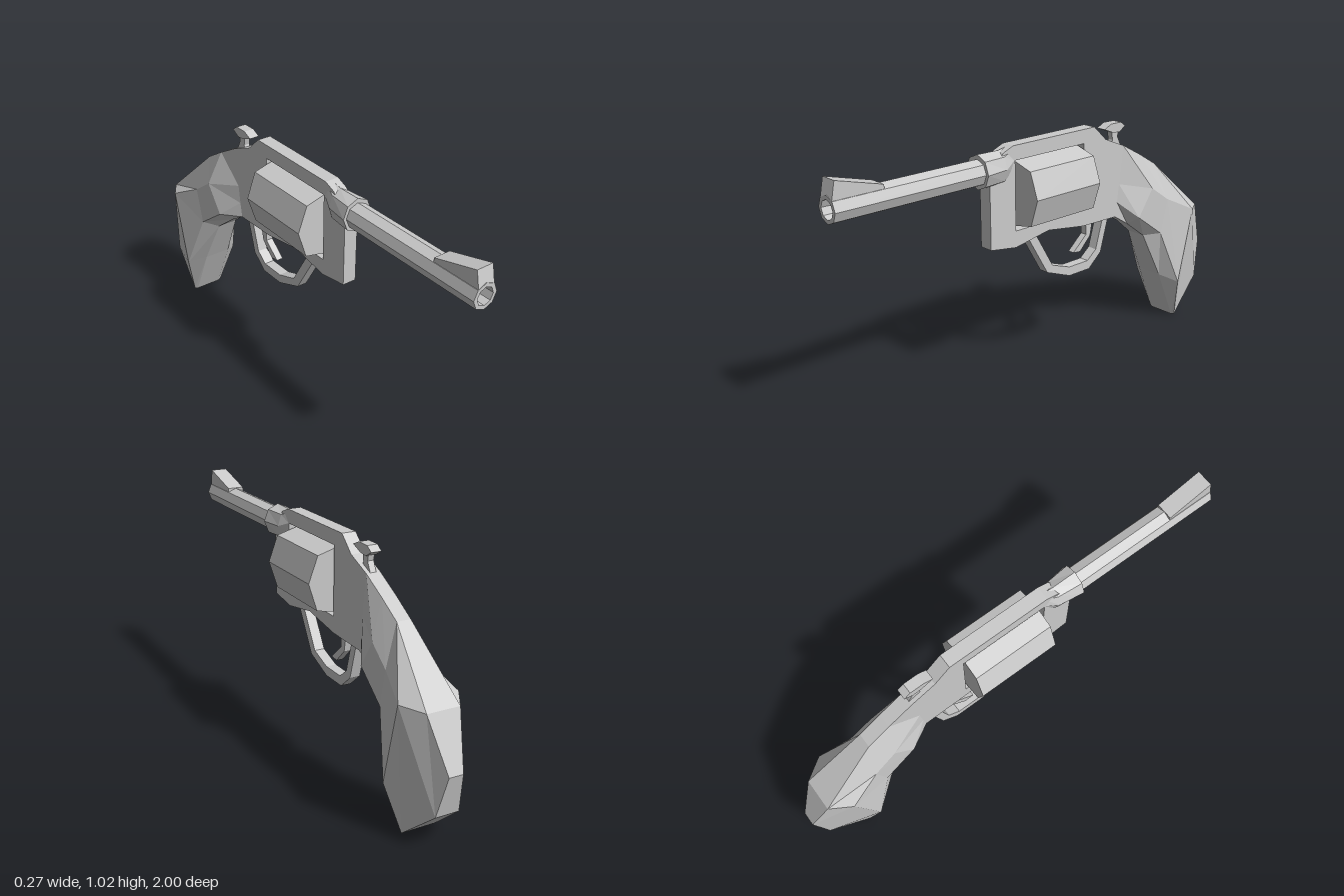
import * as THREE from 'three';

const material = new THREE.MeshStandardMaterial({ color: 0xcccccc, flatShading: true });

function addMesh(group, name, geometry) {
  const mesh = new THREE.Mesh(geometry, material);
  mesh.name = name;
  group.add(mesh);
  return mesh;
}

const toPath = (points, Type = THREE.Shape) => new Type(points.map(p => new THREE.Vector2(...p)));

// Side profile of [z, y] points, given a thickness across x
function slab(points, halfWidth, hole) {
  const shape = toPath(points);
  if (hole) shape.holes.push(toPath(hole, THREE.Path));
  return new THREE.ExtrudeGeometry(shape, { depth: 2 * halfWidth, bevelEnabled: false })
    .translate(0, 0, -halfWidth)
    .rotateY(-Math.PI / 2);
}

// Skin over rings that run from front to back; points go clockwise seen from +z
function loft(rings) {
  const n = rings[0].length;
  const index = [];
  const quad = (a, b, c, d) => index.push(a, b, c, a, c, d);
  for (let s = 0; s < rings.length - 1; s++) {
    for (let i = 0; i < n; i++) {
      const j = (i + 1) % n;
      quad(s * n + i, s * n + j, (s + 1) * n + j, (s + 1) * n + i);
    }
  }
  const last = (rings.length - 1) * n;
  for (let i = 0; i < n / 2 - 1; i++) {
    quad(i, n - 1 - i, n - 2 - i, i + 1);
    quad(last + i, last + i + 1, last + n - 2 - i, last + n - 1 - i);
  }
  const geometry = new THREE.BufferGeometry();
  geometry.setAttribute('position', new THREE.Float32BufferAttribute(rings.flat(2), 3));
  geometry.setIndex(index);
  geometry.computeVertexNormals();
  return geometry;
}

// Eight-sided ring across the barrel axis
function octagon(z, y, rx, ry) {
  return Array.from({ length: 8 }, (_, i) => {
    const a = i * Math.PI / 4;
    return [rx * Math.sin(a), y + ry * Math.cos(a), z];
  });
}

// Ring mirrored across x from [z, y, halfWidth] points, top to bottom
function mirroredRing(points) {
  return [
    ...points.map(([z, y, w]) => [w, y, z]),
    ...[...points].reverse().map(([z, y, w]) => [-w, y, z]),
  ];
}

export function createModel() {
  const model = new THREE.Group();
  model.name = 'revolver';

  // Flat frame with the window for the drum
  addMesh(model, 'frame', slab([
    [0.31, 0.6], [0.31, 0.9], [0.24, 0.98], [0.19, 1.0], [-0.26, 1.0], [-0.33, 0.935],
    [-0.44, 0.89], [-0.42, 0.72], [-0.41, 0.64], [-0.4, 0.575], [-0.2, 0.58], [0, 0.61], [0.18, 0.58],
  ], 0.03, [[0.18, 0.65], [-0.2, 0.65], [-0.2, 0.94], [0.18, 0.94]]));

  // Eight-sided drum
  const drumShape = toPath([
    [0, 0.93], [-0.095, 0.903], [-0.135, 0.795], [-0.098, 0.68],
    [0, 0.66], [0.098, 0.68], [0.135, 0.795], [0.095, 0.903],
  ]);
  addMesh(model, 'drum', new THREE.ExtrudeGeometry(drumShape, { depth: 0.35, bevelEnabled: false })
    .translate(0, 0, -0.19));

  // Barrel with a hollow bore
  const barrelProfile = [[0, 0.26], [0.053, 0.26], [0.053, 1], [0.037, 1], [0.034, 0.7], [0, 0.7]];
  const barrel = addMesh(model, 'barrel', new THREE.LatheGeometry(
    barrelProfile.map(p => new THREE.Vector2(...p)), 8).rotateX(Math.PI / 2));
  barrel.position.y = 0.917;

  // Collar narrowing into the frame
  addMesh(model, 'barrelCollar', loft([
    octagon(0.345, 0.918, 0.066, 0.07),
    octagon(0.24, 0.918, 0.052, 0.068),
    octagon(0.185, 0.94, 0.03, 0.058),
  ]));

  // Front sight ramp
  addMesh(model, 'frontSight', slab([
    [1, 0.955], [0.985, 1.025], [0.79, 0.972], [0.79, 0.955],
  ], 0.036));

  // Trigger guard and trigger
  addMesh(model, 'triggerGuard', slab([
    [0.11, 0.605], [0, 0.42], [-0.13, 0.37], [-0.25, 0.37], [-0.32, 0.43], [-0.365, 0.59],
    [-0.33, 0.59], [-0.29, 0.45], [-0.24, 0.41], [-0.13, 0.41], [-0.03, 0.445], [0.065, 0.605],
  ], 0.022));
  addMesh(model, 'trigger', slab([
    [-0.235, 0.6], [-0.235, 0.53], [-0.16, 0.465], [-0.2, 0.46], [-0.26, 0.52], [-0.275, 0.6],
  ], 0.015));

  // Hammer stem and its wider thumb spur
  addMesh(model, 'hammerStem', slab([
    [-0.37, 0.87], [-0.39, 0.92], [-0.38, 0.975], [-0.43, 0.975], [-0.42, 0.93], [-0.45, 0.87],
  ], 0.013));
  addMesh(model, 'hammerSpur', slab([
    [-0.33, 0.975], [-0.37, 0.993], [-0.43, 0.992], [-0.458, 0.972], [-0.42, 0.95], [-0.38, 0.955],
  ], 0.022));

  // Faceted grip: each ring lists back, upper flank, lower flank and front edge
  addMesh(model, 'grip', loft([
    [[-0.44, 0.89, 0.03], [-0.42, 0.72, 0.03], [-0.41, 0.64, 0.03], [-0.4, 0.575, 0.03]],
    [[-0.55, 0.83, 0.03], [-0.58, 0.68, 0.085], [-0.5, 0.56, 0.083], [-0.48, 0.525, 0.03]],
    [[-0.65, 0.77, 0.03], [-0.68, 0.61, 0.09], [-0.645, 0.455, 0.088], [-0.575, 0.45, 0.045]],
    [[-0.91, 0.53, 0.07], [-0.82, 0.54, 0.127], [-0.74, 0.2, 0.127], [-0.68, 0.235, 0.06]],
    [[-1, 0.32, 0.03], [-0.96, 0.15, 0.05], [-0.79, 0.003, 0.074], [-0.785, 0, 0.06]],
  ].map(mirroredRing)));

  return model;
}
